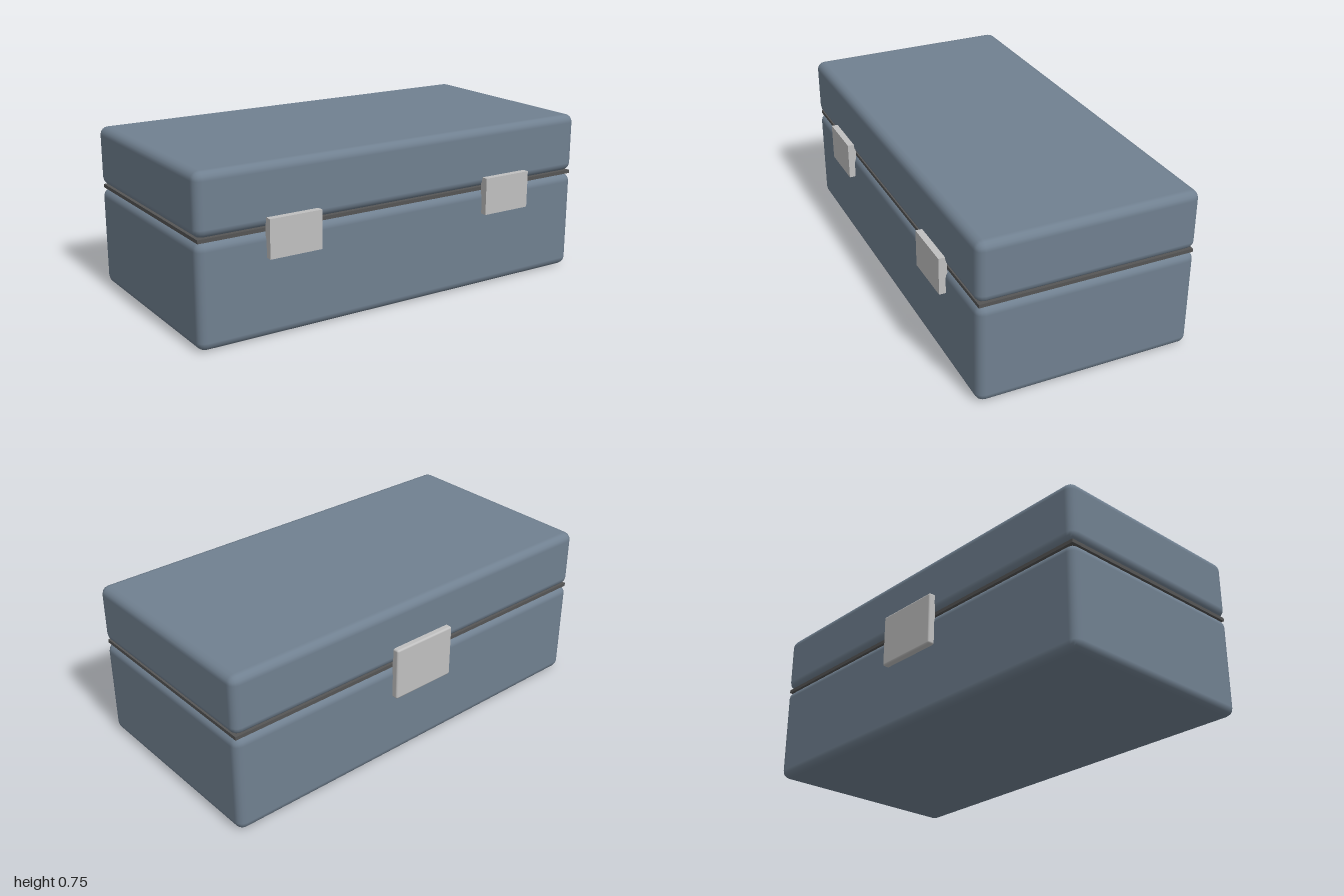
import * as THREE from 'three';
import { RoundedBoxGeometry } from 'three/addons/geometries/RoundedBoxGeometry.js';

const paint = (name, color) => {
  const material = new THREE.MeshStandardMaterial({ color });
  material.name = name;
  return material;
};

export function createModel() {
  const model = new THREE.Group();
  model.name = 'hingedCase';
  const shell = paint('slate grey', 0x708090);
  const metal = paint('silver', 0xc0c0c0);
  const seal = paint('dark grey', 0x555555);

  // Box between two corners, rounded when a radius is given
  const addBox = (name, material, [x0, y0, z0], [x1, y1, z1], radius = 0) => {
    const w = x1 - x0, h = y1 - y0, d = z1 - z0;
    const geometry = radius
      ? new RoundedBoxGeometry(w, h, d, 2, radius)
      : new THREE.BoxGeometry(w, h, d);
    const mesh = new THREE.Mesh(geometry, material);
    mesh.name = name;
    mesh.position.set((x0 + x1) / 2, (y0 + y1) / 2, (z0 + z1) / 2);
    model.add(mesh);
  };

  // Lower body, lid, and the recessed seal between them
  addBox('body', shell, [-1, 0, -0.5], [1, 0.462, 0.5], 0.038);
  addBox('lid', shell, [-1, 0.478, -0.5], [1, 0.752, 0.5], 0.038);
  addBox('seal', seal, [-0.99, 0.462, -0.49], [0.99, 0.478, 0.49]);

  // Pair of front latches
  for (const side of [-1, 1]) {
    const x = side * 0.563;
    addBox(side < 0 ? 'rightLatch' : 'leftLatch', metal,
      [x - 0.124, 0.352, 0.492], [x + 0.124, 0.524, 0.53]);
  }

  // Single rounded hinge plate at the back
  addBox('hinge', metal, [-0.163, 0.313, -0.529], [0.163, 0.561, -0.492], 0.009);

  return model;
}
